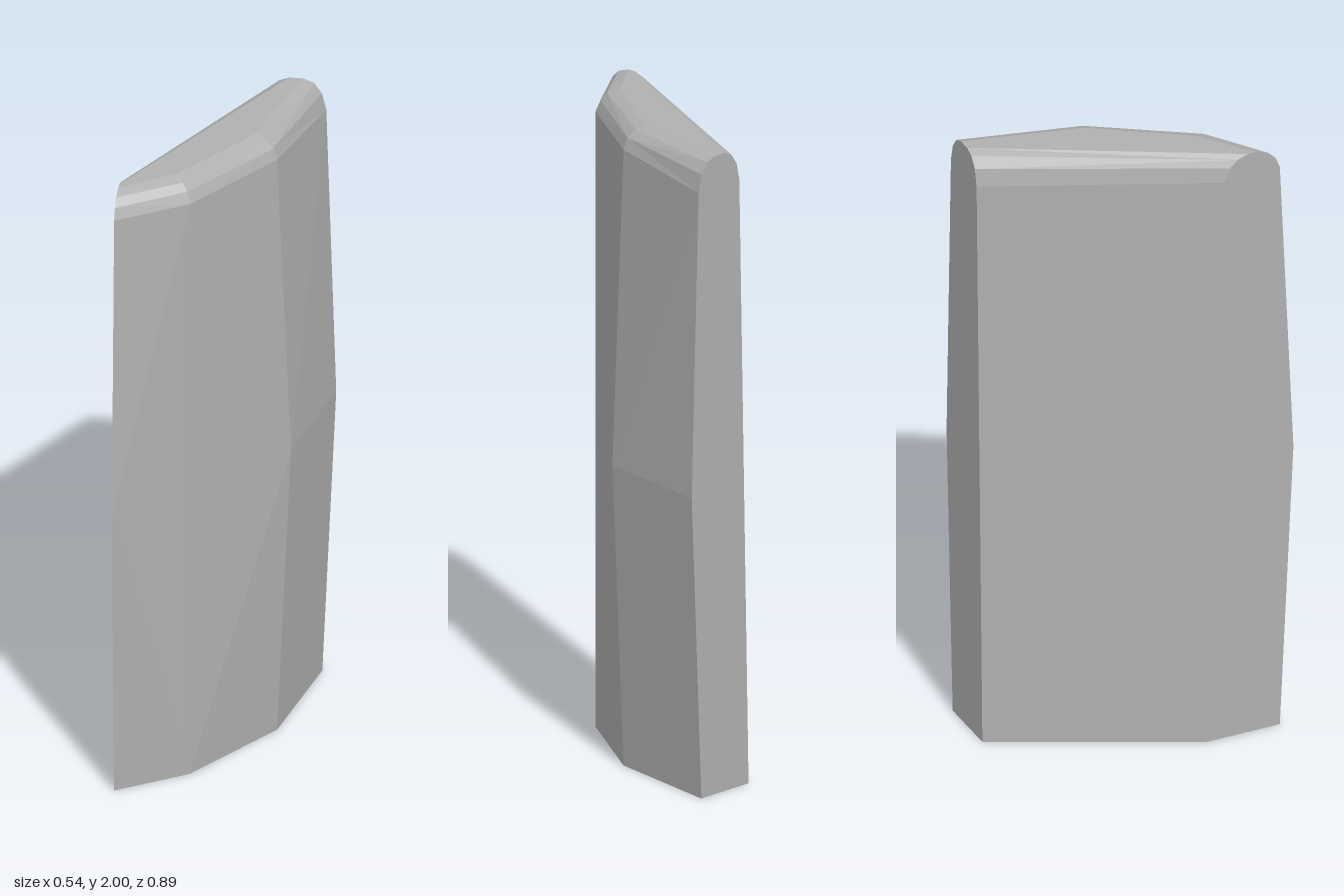
import * as THREE from 'three';

// Cross-sections from the ground up. Each ring has its corners [x, z] in the same order:
// left end front, front ridge, front shoulder, right end front, right end back, left end back.
// A height may be given per corner as a third number.
const L = -0.27, B = -0.445;
const rings = [
  { y: 0, p: [[L, 0.40], [-0.065, 0.262], [0.15, -0.055], [0.225, B], [0.02, B], [L, 0.155]] },
  { y: 0.95, p: [[L, 0.445], [-0.063, 0.261], [0.193, -0.05], [0.267, B], [0.04, B], [L, 0.187]] },
  { y: 1.93, p: [[L, 0.40], [-0.062, 0.26], [0.15, -0.055], [0.237, B, 1.90], [0.06, B, 1.90], [L, 0.218, 1.92]] },
  { y: 1.965, p: [[L, 0.385], [-0.073, 0.25], [0.138, -0.06], [0.224, B, 1.955], [0.072, B, 1.955], [L, 0.235]] },
  { y: 1.988, p: [[L, 0.36], [-0.088, 0.237], [0.112, -0.07], [0.2, B], [0.095, B], [L, 0.26]] },
  { y: 2, p: [[L, 0.32], [-0.11, 0.205], [0.082, -0.08], [0.168, B], [0.125, B], [L, 0.295]] },
];

// Joins the rings into a closed, faceted skin
function skin(rings) {
  const n = rings[0].p.length;
  const verts = rings.flatMap(r => r.p.flatMap(([x, z, y = r.y]) => [x, y, z]));
  const index = [];
  for (let r = 0; r < rings.length - 1; r++) {
    for (let i = 0; i < n; i++) {
      const j = (i + 1) % n;
      const a = r * n + i, b = r * n + j, c = b + n, d = a + n;
      // diagonals alternate, giving the diamond facets on the front
      if ((r + i) % 2 === 0) index.push(a, b, d, b, c, d);
      else index.push(a, b, c, a, c, d);
    }
  }
  // flat bottom and top
  const top = (rings.length - 1) * n;
  for (let i = 1; i < n - 1; i++) {
    index.push(0, i + 1, i);
    index.push(top, top + i, top + i + 1);
  }
  const g = new THREE.BufferGeometry();
  g.setAttribute('position', new THREE.Float32BufferAttribute(verts, 3));
  g.setIndex(index);
  const flat = g.toNonIndexed();
  flat.computeVertexNormals();
  return flat;
}

export function createModel() {
  const grey = new THREE.MeshStandardMaterial({ color: 0xb0b0b0 });
  grey.name = 'stone grey';
  const slab = new THREE.Mesh(skin(rings), grey);
  slab.name = 'slab';
  const model = new THREE.Group();
  model.name = 'facetedSlab';
  model.add(slab);
  return model;
}
